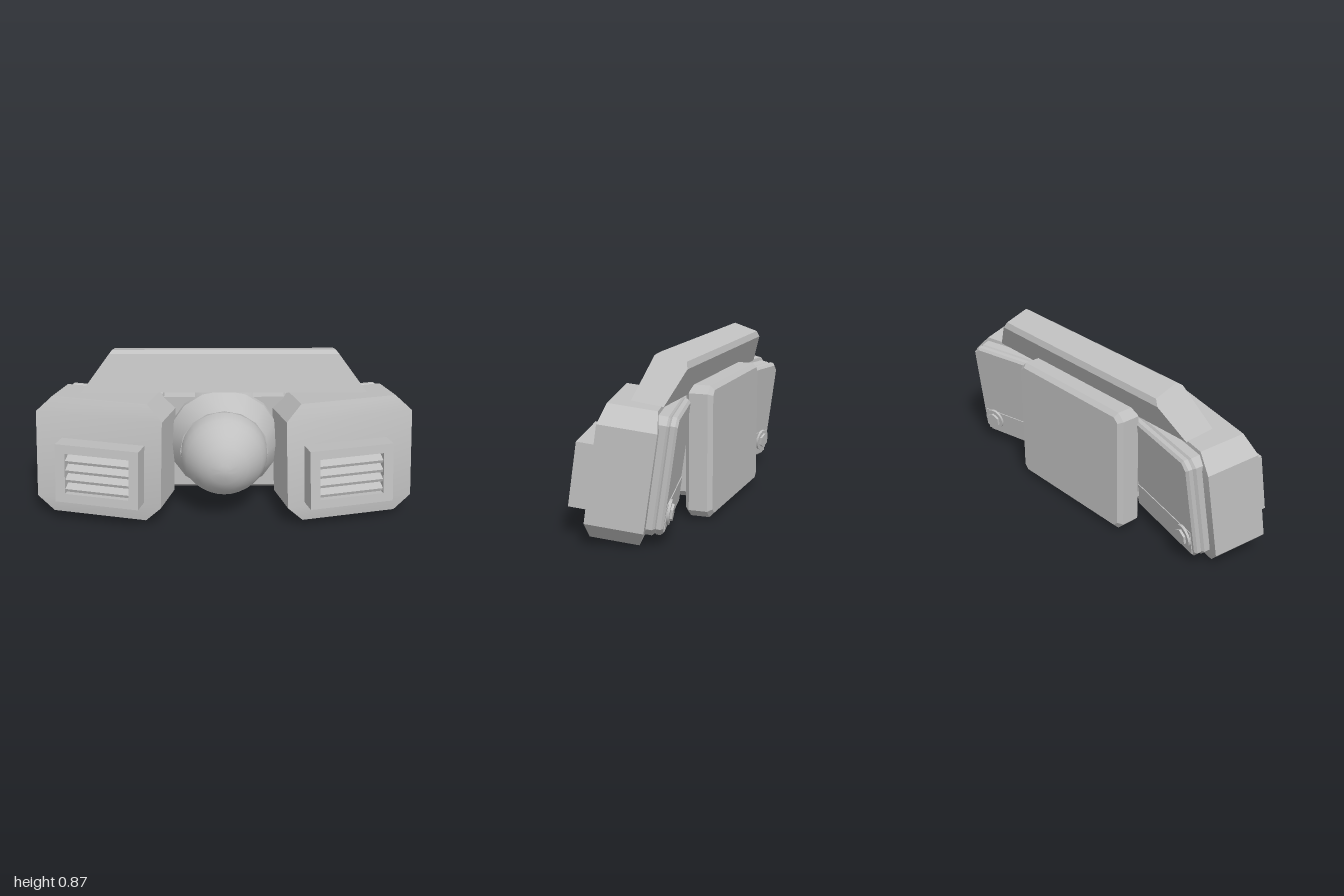
import * as THREE from 'three';
import { toCreasedNormals } from 'three/addons/utils/BufferGeometryUtils.js';

const grey = new THREE.MeshStandardMaterial({ color: 0xc0c0c0 });
grey.name = 'plainGrey';

function add(parent, name, geometry, x = 0, y = 0, z = 0) {
  const mesh = new THREE.Mesh(toCreasedNormals(geometry, 0.45), grey);
  mesh.name = name;
  mesh.position.set(x, y, z);
  parent.add(mesh);
  return mesh;
}

// Rectangle with cut corners, as a list of points
function cutRect(w, h, c) {
  const a = w / 2, b = h / 2;
  return [[a - c, -b], [a, -b + c], [a, b - c], [a - c, b],
    [c - a, b], [-a, b - c], [-a, c - b], [c - a, -b]].map(p => new THREE.Vector2(...p));
}

// Block with cut corners and optional chamfered faces, centred on its origin
function block(w, h, d, cut, bevel = 0) {
  const shape = new THREE.Shape(cutRect(w - 2 * bevel, h - 2 * bevel, cut));
  return new THREE.ExtrudeGeometry(shape, {
    depth: d - 2 * bevel, bevelEnabled: bevel > 0,
    bevelThickness: bevel, bevelSize: bevel, bevelSegments: 1,
  }).translate(0, 0, bevel - d / 2);
}

// Pod shell: a box whose top and bottom rows are drawn in, in width and depth
function podShell() {
  const geometry = new THREE.BoxGeometry(0.685, 0.645, 0.28, 1, 3, 1);
  const p = geometry.attributes.position;
  for (let i = 0; i < p.count; i++) {
    const y = p.getY(i);
    if (Math.abs(y) > 0.3) p.setXYZ(i, p.getX(i) * 0.75, y, p.getZ(i) * 0.85);
    else p.setY(i, Math.sign(y) * 0.237);
  }
  return geometry;
}

// Louvred box on the front of a pod
function makeVent() {
  const vent = new THREE.Group();
  vent.name = 'vent';
  const w = 0.45, h = 0.318, ow = 0.345, oh = 0.222;
  const rect = (a, b) => [[-a, -b], [a, -b], [a, b], [-a, b]].map(p => new THREE.Vector2(p[0] / 2, p[1] / 2));
  const frame = new THREE.Shape(rect(w, h));
  frame.holes.push(new THREE.Path(rect(ow, oh).reverse()));
  add(vent, 'ventFrame', new THREE.ExtrudeGeometry(frame, { depth: 0.12, bevelEnabled: false }));
  add(vent, 'ventBack', new THREE.BoxGeometry(ow, oh, 0.02), 0, 0, 0.04);
  for (let i = 0; i < 4; i++) {
    const slat = add(vent, 'ventSlat', new THREE.BoxGeometry(ow, 0.018, 0.065), 0, -0.08 + i * 0.052, 0.08);
    slat.rotation.x = 0.45;
  }
  return vent;
}

// Side pod, turned outward and tipped back; s is +1 for left, -1 for right
function makePod(s) {
  const pod = new THREE.Group();
  pod.name = s > 0 ? 'leftPod' : 'rightPod';
  pod.position.set(s * 0.632, 0.34, 0);
  pod.rotation.set(-0.14, s * 0.22, 0, 'YXZ');
  add(pod, 'podBody', podShell());

  const vent = makeVent();
  vent.position.set(s * -0.025, -0.056, 0.13);
  pod.add(vent);

  // Stepped cover on the back
  add(pod, 'coverBase', block(0.58, 0.57, 0.07, 0.03, 0.012), 0, 0.02, -0.147);
  add(pod, 'coverPlate', block(0.575, 0.565, 0.045, 0.03, 0.012), 0, 0.025, -0.198);
  add(pod, 'coverLowerPanel', new THREE.BoxGeometry(0.52, 0.13, 0.006), 0, -0.17, -0.222);

  // Hex bolt in the lower outer corner
  const washer = new THREE.CylinderGeometry(0.06, 0.06, 0.014, 20).rotateX(Math.PI / 2);
  const head = new THREE.CylinderGeometry(0.042, 0.042, 0.014, 6).rotateX(Math.PI / 2);
  add(pod, 'boltWasher', washer, s * 0.2, -0.155, -0.23);
  add(pod, 'boltHead', head, s * 0.2, -0.155, -0.242);
  return pod;
}

// Sloping hood: a side profile stretched across x, narrowing upward and backward
function makeHood() {
  const profile = [[-0.045, 0.665], [-0.105, 0.86], [-0.13, 0.875],
    [-0.26, 0.833], [-0.27, 0.8], [-0.2, 0.64]];
  const shape = new THREE.Shape(profile.map(([z, y]) => new THREE.Vector2(-z, y)));
  const geometry = new THREE.ExtrudeGeometry(shape, { depth: 2, bevelEnabled: false });
  geometry.translate(0, 0, -1).rotateY(Math.PI / 2);
  const p = geometry.attributes.position;
  for (let i = 0; i < p.count; i++) {
    p.setX(i, p.getX(i) * (1.229 - 0.695 * p.getY(i) + 0.235 * p.getZ(i)));
  }
  geometry.computeVertexNormals();
  return geometry;
}

// Solid of revolution about the z axis, from [radius, z] points
function turned(points, sides) {
  const profile = points.map(([r, z]) => new THREE.Vector2(r, z));
  return new THREE.LatheGeometry(profile, sides).rotateX(Math.PI / 2);
}

export function createModel() {
  const model = new THREE.Group();
  model.name = 'twinPodUnit';
  for (const s of [1, -1]) model.add(makePod(s));
  add(model, 'hood', makeHood());

  // Rear housing and the core that joins the pods
  add(model, 'rearHousing', block(0.82, 0.67, 0.14, 0.025, 0.022), 0, 0.35, -0.255);
  add(model, 'core', block(0.7, 0.52, 0.14, 0.03), 0, 0.36, -0.16);

  // Flared central collar and blunt nose
  const collar = [[0, -0.22], [0.3, -0.22], [0.3, -0.06], [0.235, 0.06], [0, 0.06]];
  add(model, 'collar', turned(collar, 16), 0, 0.37, 0);
  const nose = [[0.228, 0.05], [0.228, 0.1], [0.219, 0.135], [0.2, 0.172], [0.165, 0.215],
    [0.125, 0.255], [0.08, 0.28], [0.035, 0.295], [0, 0.3]];
  add(model, 'nose', turned(nose, 32), 0, 0.37, 0);
  return model;
}
